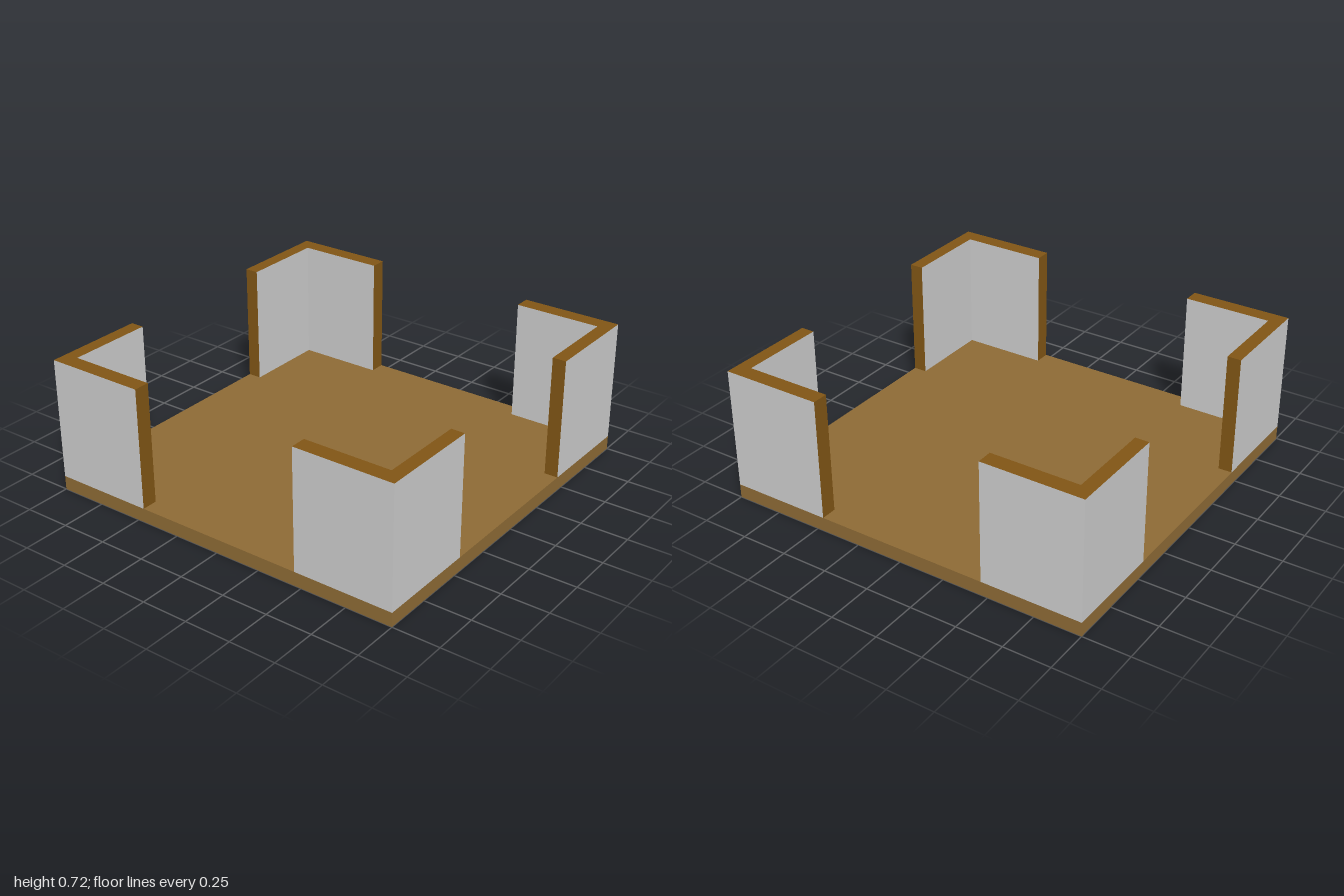
import * as THREE from 'three';

const FLOOR_TOP = 0.075, WALL_TOP = 0.72;
const X_THICK = 0.085, Z_THICK = 0.073;   // thickness of side walls, of front/back walls
const X_END = 0.455, Z_END = 0.462;       // where each wall stops short of the middle

export function createModel() {
  const model = new THREE.Group();
  model.name = 'corneredPlatform';

  const floorMat = new THREE.MeshStandardMaterial({ color: 0x8d6a35 });
  const trimMat = new THREE.MeshStandardMaterial({ color: 0x805515 });
  const wallMat = new THREE.MeshStandardMaterial({ color: 0xcccccc });

  // box between two corners, given in any order
  const box = (name, a, b, material) => {
    const size = a.map((v, i) => Math.abs(b[i] - v));
    const mesh = new THREE.Mesh(new THREE.BoxGeometry(...size), material);
    mesh.position.set(...a.map((v, i) => (v + b[i]) / 2));
    mesh.name = name;
    return mesh;
  };

  // floor slab
  model.add(box('floor', [-1, 0, -1], [1, FLOOR_TOP, 1], floorMat));

  // L-shaped corner walls: grey faces, brown tops and free ends
  for (const sx of [-1, 1]) for (const sz of [-1, 1]) {
    const corner = new THREE.Group();
    corner.name = (sz > 0 ? 'front' : 'back') + (sx > 0 ? 'Left' : 'Right') + 'Corner';
    const W = wallMat, T = trimMat;
    const zInner = sz * (1 - Z_THICK);

    // wall along the front or back edge
    corner.add(box('edgeWall',
      [sx * X_END, FLOOR_TOP, zInner], [sx, WALL_TOP, sz],
      sx > 0 ? [W, T, T, T, W, W] : [T, W, T, T, W, W]));

    // wall along the side edge, butting against the first
    corner.add(box('sideWall',
      [sx * (1 - X_THICK), FLOOR_TOP, sz * Z_END], [sx, WALL_TOP, zInner],
      sz > 0 ? [W, W, T, T, W, T] : [W, W, T, T, T, W]));

    model.add(corner);
  }
  return model;
}
